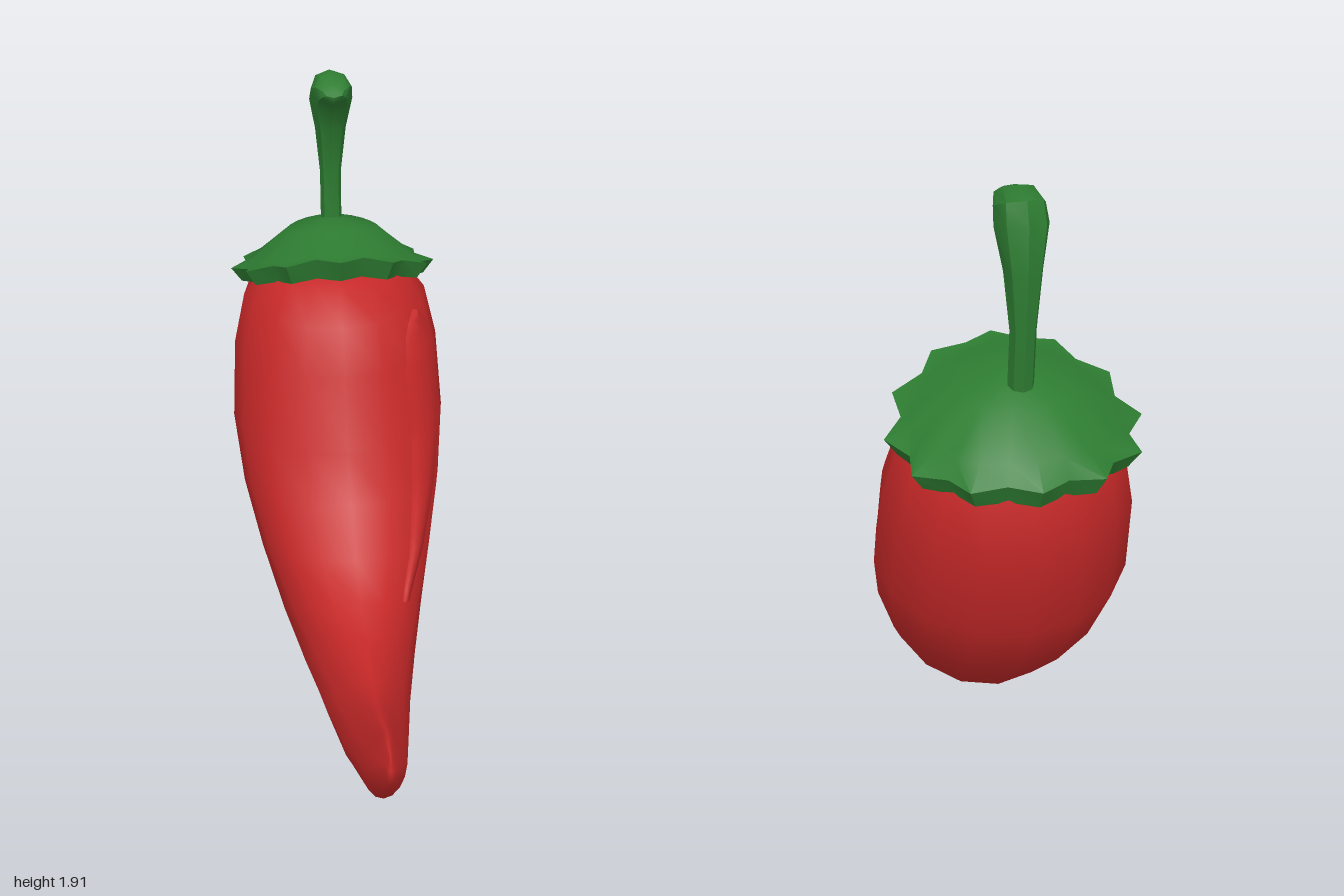
import * as THREE from 'three';
import { toCreasedNormals } from 'three/addons/utils/BufferGeometryUtils.js';

// Cross-sections: [outer z, outer y, inner z, inner y, half width, pinch of the inner side]
const BODY = [
  [1.0, 0.4, 0.98, 0.49, 0.015, 0.5],
  [0.85, 0.19, 0.9, 0.512, 0.065, 0.55],
  [0.62, 0.07, 0.71, 0.42, 0.1, 0.5],
  [0.33, 0.01, 0.55, 0.385, 0.138, 0.4],
  [0.05, 0.0, 0.38, 0.395, 0.185, 0.25],
  [-0.25, 0.07, 0.22, 0.42, 0.24, 0.1],
  [-0.54, 0.23, 0.08, 0.505, 0.3, 0],
  [-0.75, 0.44, -0.05, 0.625, 0.35, 0],
  [-0.9, 0.69, -0.15, 0.78, 0.375, 0],
  [-0.95, 0.96, -0.25, 1.02, 0.358, 0],
  [-0.95, 1.15, -0.32, 1.16, 0.318, 0],
  [-0.88, 1.235, -0.41, 1.28, 0.24, 0],
];
const STEM = [
  [-0.775, 1.36, -0.705, 1.36, 0.036, 0],
  [-0.79, 1.55, -0.72, 1.55, 0.036, 0],
  [-0.8, 1.7, -0.685, 1.72, 0.052, 0],
  [-0.795, 1.84, -0.64, 1.8, 0.072, 0],
  [-0.77, 1.9, -0.61, 1.83, 0.068, 0],
  [-0.69, 1.915, -0.59, 1.85, 0.055, 0],
  [-0.63, 1.895, -0.587, 1.863, 0.035, 0],
];

// Point on a section; angle 0 is the inner side, 90 degrees is +x
function sectionPoint([zo, yo, zi, yi, w, k], a, scale = 1) {
  const c = Math.cos(a) * scale;
  return [
    w * Math.sin(a) * scale * (1 - k * Math.max(0, Math.cos(a))),
    (yo + yi) / 2 + ((yi - yo) / 2) * c,
    (zo + zi) / 2 + ((zi - zo) / 2) * c,
  ];
}

// Section interpolated at a fractional index
function sectionAt(sections, t) {
  const i = Math.min(Math.floor(t), sections.length - 2);
  return sections[i].map((v, n) => v + (sections[i + 1][n] - v) * (t - i));
}

// Skin over rows of points, optionally wrapped around and closed at the ends
function skin(rows, wrap, closed) {
  const n = rows[0].length, pos = rows.flat(2), idx = [];
  const span = wrap ? n : n - 1;
  for (let i = 0; i < rows.length - 1; i++) {
    for (let j = 0; j < span; j++) {
      const a = i * n + j, b = i * n + ((j + 1) % n);
      idx.push(a, b, a + n, b, b + n, a + n);
    }
  }
  if (closed) {
    for (const end of [0, rows.length - 1]) {
      const row = rows[end], center = pos.length / 3;
      for (let k = 0; k < 3; k++) pos.push(row.reduce((s, p) => s + p[k], 0) / n);
      for (let j = 0; j < n; j++) {
        const a = end * n + j, b = end * n + ((j + 1) % n);
        idx.push(center, ...(end ? [a, b] : [b, a]));
      }
    }
  }
  const g = new THREE.BufferGeometry();
  g.setAttribute('position', new THREE.Float32BufferAttribute(pos, 3));
  g.setIndex(idx);
  g.computeVertexNormals();
  return g;
}

function loft(sections, sides) {
  const rows = sections.map((s) =>
    Array.from({ length: sides }, (_, j) => sectionPoint(s, (j / sides) * Math.PI * 2)));
  return skin(rows, true, true);
}

// Raised strip along the model's left side of the body
function stripGeometry() {
  const rows = [], steps = 24;
  const columns = [[-1, -0.03], [-0.92, 0.035], [0, 0.03], [0.92, 0.015], [1, -0.03]];
  for (let i = 0; i <= steps; i++) {
    const u = i / steps;
    const round = Math.sqrt(Math.max(0, 1 - u ** 10));
    const half = 0.27 * Math.min(1, 0.25 + u) * round;
    const mid = 0.8 + 0.14 * u;
    const section = sectionAt(BODY, 5 + 5 * u);
    rows.push(columns.map(([c, lift]) => sectionPoint(section, mid + c * half, 1 + lift)));
  }
  return skin(rows, false, false);
}

// Tilted leafy cap with twelve points and a thick rim
function calyxGeometry() {
  const points = 12, n = points * 2;
  // [radius at points, radius at valleys, height, tilt, saddle]
  const rings = [
    [0.62, 0.62, 1.22, 0.06, 0.03],
    [0.9, 0.8, 1.2, 0.075, 0.02],
    [1, 0.87, 1.26, 0.085, 0.03],
    [0.8, 0.78, 1.287, 0.055, 0.028],
    [0.45, 0.45, 1.375, 0.025, 0.01],
    [0.1, 0.1, 1.4, 0.004, 0],
  ];
  const rows = rings.map(([tip, valley, y, tilt, saddle]) =>
    Array.from({ length: n }, (_, j) => {
      const a = (j / n) * Math.PI * 2, r = j % 2 ? valley : tip;
      return [
        0.358 * r * Math.sin(a),
        y + tilt * Math.cos(a) + saddle * Math.cos(2 * a),
        -0.69 + 0.31 * r * Math.cos(a),
      ];
    }));
  return toCreasedNormals(skin(rows, true, true), 0.65);
}

export function createModel() {
  const red = new THREE.MeshStandardMaterial({ color: 0xc62828 });
  red.name = 'pepperRed';
  const green = new THREE.MeshStandardMaterial({ color: 0x2e7d32 });
  green.name = 'stemGreen';

  const model = new THREE.Group();
  model.name = 'chiliPepper';
  const add = (name, geometry, material) => {
    const mesh = new THREE.Mesh(geometry, material);
    mesh.name = name;
    model.add(mesh);
  };
  add('body', loft(BODY, 16), red);
  add('sideStrip', stripGeometry(), red);
  add('calyx', calyxGeometry(), green);
  add('stem', toCreasedNormals(loft(STEM, 8), 0.7), green);
  return model;
}
